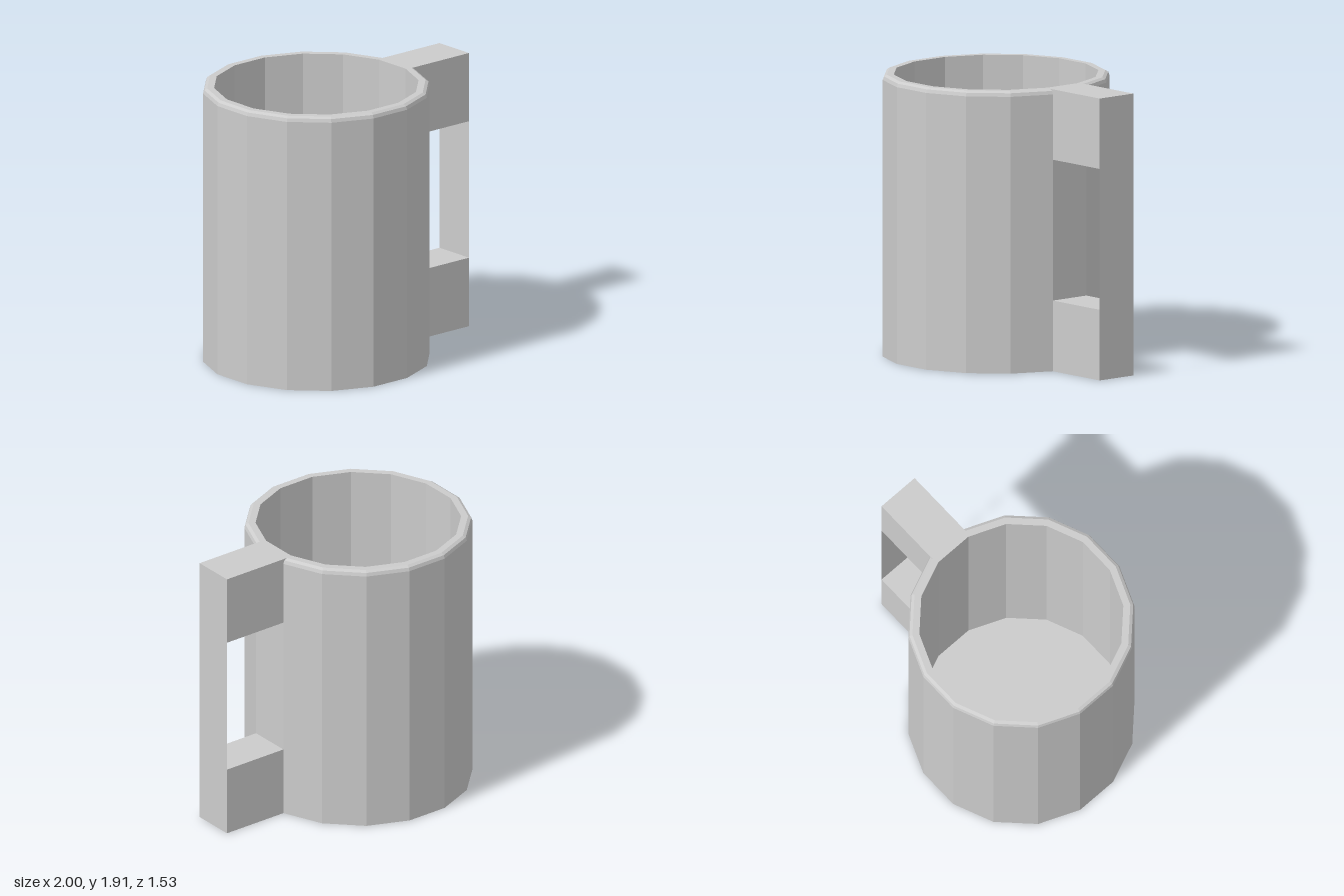
import * as THREE from 'three';

const SIDES = 16, RADIUS = 0.765, HEIGHT = 1.915, CENTRE_X = -0.235;

export function createModel() {
  const model = new THREE.Group();
  model.name = 'mug';
  const grey = new THREE.MeshStandardMaterial({ color: 0xcccccc, flatShading: true, side: THREE.DoubleSide });
  grey.name = 'light grey';

  const add = (parent, name, geometry, x = 0, y = 0, z = 0) => {
    const mesh = new THREE.Mesh(geometry, grey);
    mesh.name = name;
    mesh.position.set(x, y, z);
    parent.add(mesh);
    return mesh;
  };

  // Hollow cup: base, outer wall, bevelled rim, inner wall, floor
  const profile = [
    [0, 0], [RADIUS, 0], [RADIUS, 1.88], [0.757, 1.903], [0.737, HEIGHT],
    [0.69, HEIGHT], [0.69, 0.08], [0, 0.08],
  ].map(([r, y]) => new THREE.Vector2(r, y));
  add(model, 'cup', new THREE.LatheGeometry(profile, SIDES), CENTRE_X);

  // Handle grows out of one facet of the cup, so it is turned by half a facet
  const halfFacet = Math.PI / SIDES;
  const width = 2 * RADIUS * Math.sin(halfFacet);
  const inner = 0.715, outer = 1.228;
  const handle = new THREE.Group();
  handle.name = 'handle';
  handle.position.x = CENTRE_X;
  handle.rotation.y = -halfFacet;
  model.add(handle);

  // Lower and upper arms
  for (const [name, bottom, top] of [['lowerArm', 0, 0.48], ['upperArm', 1.437, HEIGHT]]) {
    add(handle, name, new THREE.BoxGeometry(outer - inner, top - bottom, width),
      (inner + outer) / 2, (bottom + top) / 2);
  }

  // Thin sheet joining the arms, between them only
  const grip = add(handle, 'grip', new THREE.PlaneGeometry(width, 1.437 - 0.48), outer, (1.437 + 0.48) / 2);
  grip.rotation.y = Math.PI / 2;

  return model;
}
